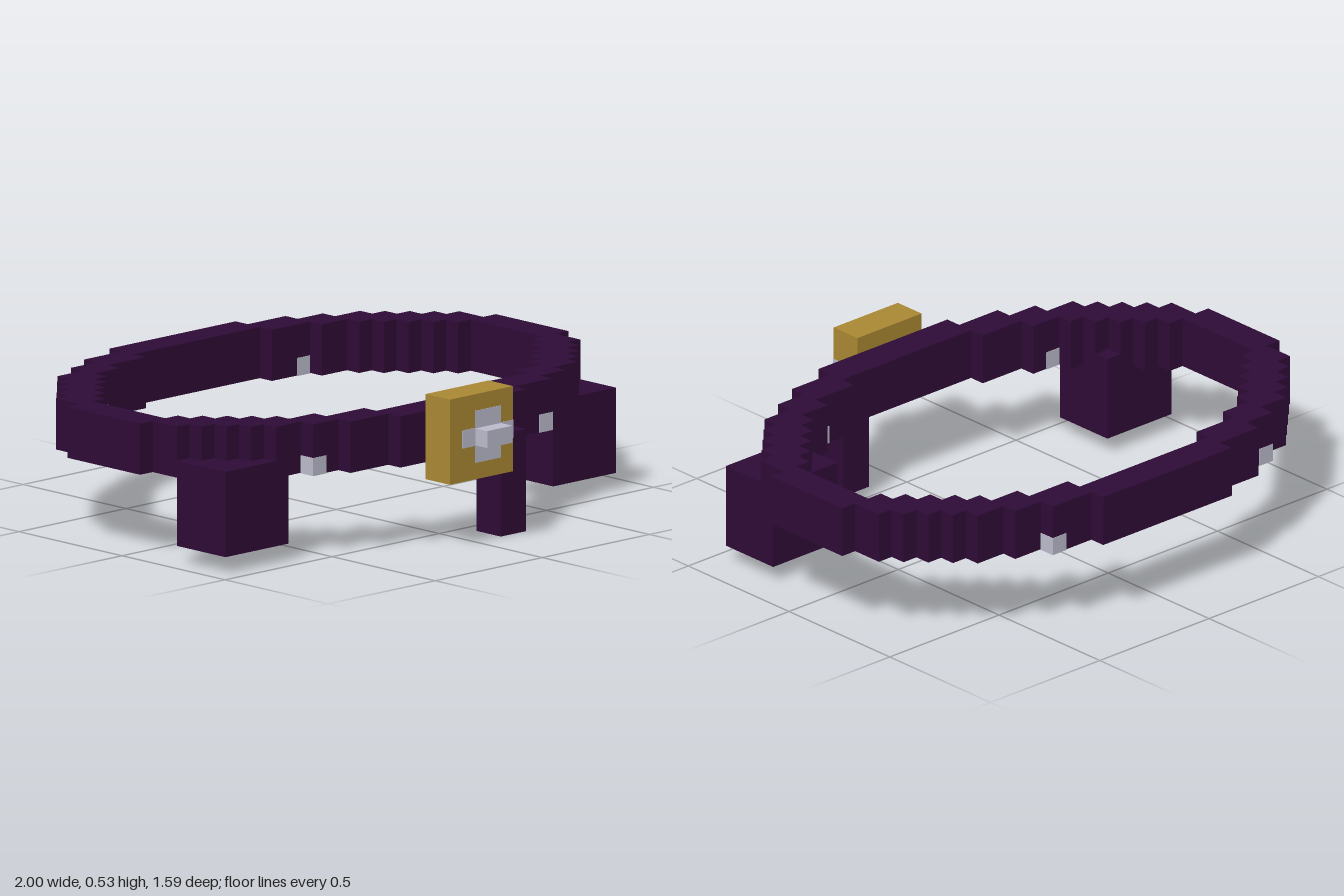
import * as THREE from 'three';

const U = 1 / 17; // size of one block; all coordinates below are in blocks

const purple = new THREE.MeshStandardMaterial({ color: 0x2e0b36 });
purple.name = 'dark purple leather';
const gold = new THREE.MeshStandardMaterial({ color: 0xaa8833 });
gold.name = 'gold';
const silver = new THREE.MeshStandardMaterial({ color: 0xbbbbcc });
silver.name = 'silver';

// Box from its min and max block corners; grow pushes its faces slightly proud
function block(name, material, [x0, y0, z0], [x1, y1, z1], grow = 0) {
  const g = new THREE.BoxGeometry(x1 - x0 + 2 * grow, y1 - y0 + 2 * grow, z1 - z0 + 2 * grow);
  g.translate((x0 + x1) / 2, (y0 + y1) / 2, (z0 + z1) / 2 - 13.5);
  g.scale(U, U, U);
  const mesh = new THREE.Mesh(g, material);
  mesh.name = name;
  return mesh;
}

// Stepped oval outline from half-widths of the rows, mirrored front to back and left to right
function steppedOval(halfWidths) {
  const n = halfWidths.length;
  const rows = [...halfWidths, ...[...halfWidths].reverse()];
  const right = [];
  rows.forEach((w, i) => {
    if (i === 0 || rows[i - 1] !== w) right.push([w, i - n]);
    if (i === rows.length - 1 || rows[i + 1] !== w) right.push([w, i + 1 - n]);
  });
  const left = right.map(([x, y]) => [-x, y]).reverse();
  return [...right, ...left].map(([x, y]) => new THREE.Vector2(x, y));
}

export function createModel() {
  const model = new THREE.Group();
  model.name = 'belt';

  // Belt band: stepped ring, three blocks high
  const ring = new THREE.Shape(steppedOval([5, 8, 10, 12, 13, 14, 15, 16, 16, 17, 17, 17]));
  ring.holes.push(new THREE.Path(steppedOval([5, 8, 10, 11, 12, 13, 14, 15, 15, 15])));
  const bandGeometry = new THREE.ExtrudeGeometry(ring, { depth: 3, bevelEnabled: false });
  bandGeometry.rotateX(-Math.PI / 2).translate(0, 5, -1.5).scale(U, U, U);
  const band = new THREE.Mesh(bandGeometry, purple);
  band.name = 'band';
  model.add(band);

  // Pouches and the hanging strap end
  model.add(block('leftPouch', purple, [10, 1, 17], [15, 6, 21]));
  model.add(block('rightPouch', purple, [-16, 1, 17], [-11, 6, 21]));
  model.add(block('strapEnd', purple, [2, 0, 23], [4, 6, 25]));

  // Buckle with inlaid cross and protruding prong
  const buckle = new THREE.Group();
  buckle.name = 'buckle';
  buckle.add(block('bucklePlate', gold, [-3, 4, 24], [2, 9, 26]));
  buckle.add(block('buckleCrossUpright', silver, [-1, 5, 25], [1, 8, 26], 0.03));
  buckle.add(block('buckleCrossBar', silver, [-2, 6, 24], [2, 7, 26], 0.03));
  buckle.add(block('buckleProng', silver, [-1, 6, 26], [1, 7, 27]));
  model.add(buckle);

  // Studs through the lower edge of the band: x and first row
  for (const [x, z] of [[7, 21], [-10, 20], [7, 1], [-10, 2]]) {
    model.add(block('stud', silver, [x, 5, z], [x + 1, 6, z + 2], 0.03));
  }
  return model;
}
